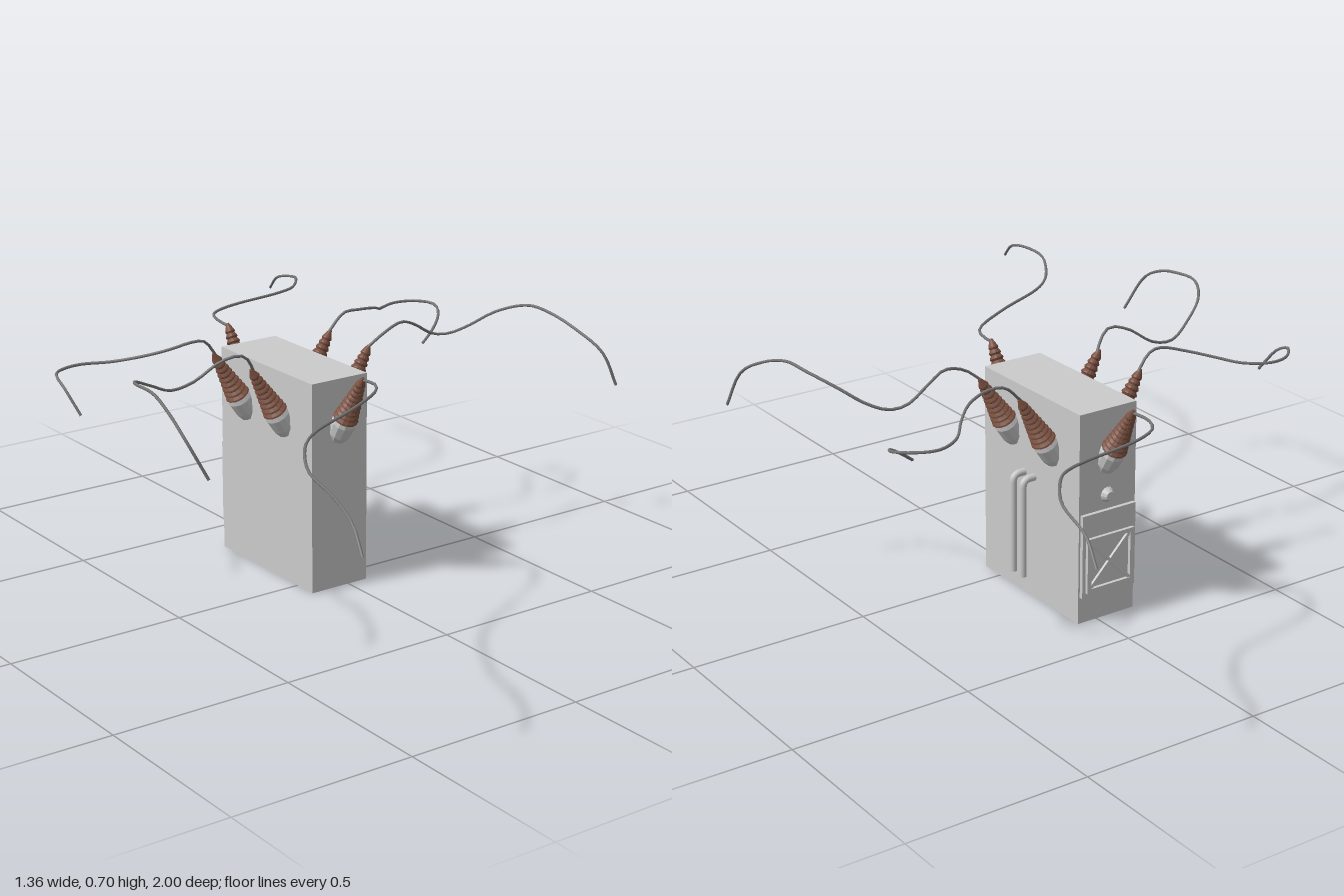
import * as THREE from 'three';

const V = (x, y, z) => new THREE.Vector3(x, y, z);
const grey = new THREE.MeshStandardMaterial({ color: 0xcccccc });
const greyFlat = new THREE.MeshStandardMaterial({ color: 0xcccccc, flatShading: true });
const ceramic = new THREE.MeshStandardMaterial({ color: 0x7a5040, flatShading: true });
const cable = new THREE.MeshStandardMaterial({ color: 0x777777 });

// Tank centre line and extents
const CX = -0.03, CZ = -0.145, W = 0.18, H = 0.59, D = 0.43;
const BACK = CZ - D / 2;

function add(parent, name, geometry, material, x = 0, y = 0, z = 0) {
  const mesh = new THREE.Mesh(geometry, material);
  mesh.name = name;
  mesh.position.set(x, y, z);
  parent.add(mesh);
  return mesh;
}

const lathe = (points, sides) =>
  new THREE.LatheGeometry(points.map(([r, y]) => new THREE.Vector2(r, y)), sides);

// Metal socket with a collar, then a tapering stack of ceramic sheds
function bushing(name, x, z, outX, outZ) {
  const group = new THREE.Group();
  group.name = name;
  add(group, 'bushingSocket', lathe(
    [[0, -0.03], [0.024, -0.03], [0.031, -0.01], [0.034, 0.03], [0.03, 0.042], [0, 0.042]], 12), greyFlat);

  const profile = [[0, 0.04]];
  const sheds = 9, pitch = 0.0155;
  for (let i = 0; i < sheds; i++) {
    const r = 0.035 - 0.0026 * i, y = 0.04 + pitch * i;
    profile.push([r * 0.78, y], [r, y + pitch * 0.35], [r * 0.95, y + pitch * 0.6], [r * 0.74, y + pitch]);
  }
  profile.push([0.004, 0.195], [0, 0.195]);
  add(group, 'insulatorSheds', lathe(profile, 14), ceramic);

  group.position.set(x, 0.45, z);
  group.quaternion.setFromUnitVectors(V(0, 1, 0), V(outX * 0.51, 0.86, outZ * 0.51).normalize());
  return group;
}

function wire(parent, name, points) {
  const curve = new THREE.CatmullRomCurve3(points.map(p => V(...p)), false, 'centripetal');
  add(parent, name, new THREE.TubeGeometry(curve, points.length * 3, 0.004, 6), cable);
}

export function createModel() {
  const model = new THREE.Group();
  model.name = 'transformer';

  // Tank
  add(model, 'tank', new THREE.BoxGeometry(W, H, D), grey, CX, H / 2, CZ);

  // Bushings: two on each long side, one at each end
  for (const side of [1, -1]) {
    for (const z of [-0.06, -0.24]) {
      model.add(bushing('sideBushing', CX + side * (W / 2 + 0.005), z, side, 0));
    }
    model.add(bushing('endBushing', CX, CZ + side * (D / 2 + 0.005), 0, side));
  }

  // Elbowed pipes on the left side
  for (const z of [-0.115, -0.16]) {
    const path = new THREE.CurvePath();
    path.add(new THREE.LineCurve3(V(0.055, 0.35, z), V(0.075, 0.35, z)));
    path.add(new THREE.QuadraticBezierCurve3(V(0.075, 0.35, z), V(0.096, 0.35, z), V(0.096, 0.329, z)));
    path.add(new THREE.LineCurve3(V(0.096, 0.329, z), V(0.096, 0.07, z)));
    add(model, 'pipe', new THREE.TubeGeometry(path, 48, 0.01, 10), grey);
    const cap = add(model, 'pipeEnd', new THREE.CircleGeometry(0.01, 10), grey, 0.096, 0.07, z);
    cap.rotation.x = Math.PI / 2;
  }

  // Back plate with a cross-braced frame and a round knob above
  const panel = new THREE.Group();
  panel.name = 'backPanel';
  panel.position.set(CX, 0, BACK);
  model.add(panel);
  add(panel, 'backPlate', new THREE.BoxGeometry(W - 0.01, 0.235, 0.012), grey, 0, 0.193, -0.005);
  const fw = 0.15, fh = 0.155, fy = 0.168, bar = 0.012, fz = -0.013;
  for (const s of [1, -1]) {
    add(panel, 'frameUpright', new THREE.BoxGeometry(bar, fh, 0.015), grey, s * (fw - bar) / 2, fy, fz);
    add(panel, 'frameRail', new THREE.BoxGeometry(fw, bar, 0.015), grey, 0, fy + s * (fh - bar) / 2, fz);
    const brace = add(panel, 'frameBrace',
      new THREE.BoxGeometry(Math.hypot(fw, fh) - 0.03, 0.009, 0.011), grey, 0, fy, fz);
    brace.rotation.z = s * Math.atan2(fh, fw);
  }
  const knob = add(panel, 'knob', new THREE.CylinderGeometry(0.012, 0.022, 0.016, 12), greyFlat, 0, 0.35, -0.007);
  knob.rotation.x = -Math.PI / 2;

  // Long wires from the end bushings
  wire(model, 'frontWire', [
    [-0.03, 0.61, 0.16], [-0.03, 0.615, 0.22], [-0.06, 0.615, 0.27], [-0.2, 0.615, 0.36],
    [-0.37, 0.615, 0.445], [-0.44, 0.615, 0.5], [-0.51, 0.615, 0.59], [-0.57, 0.615, 0.7],
    [-0.595, 0.605, 0.82], [-0.62, 0.575, 0.93], [-0.643, 0.525, 0.997]]);
  wire(model, 'backWire', [
    [-0.03, 0.61, -0.46], [-0.025, 0.615, -0.53], [0, 0.615, -0.58], [0.05, 0.615, -0.61],
    [0.12, 0.615, -0.63], [0.27, 0.615, -0.655], [0.34, 0.615, -0.68], [0.39, 0.615, -0.73],
    [0.44, 0.605, -0.81], [0.46, 0.575, -0.93], [0.48, 0.525, -0.997]]);

  // Looping wires from the side bushings
  wire(model, 'leftFrontWire', [
    [0.155, 0.61, -0.06], [0.2, 0.645, -0.048], [0.27, 0.665, -0.058], [0.33, 0.645, -0.075],
    [0.4, 0.605, -0.08], [0.45, 0.6, -0.07], [0.5, 0.62, -0.045], [0.555, 0.66, 0],
    [0.6, 0.69, 0.08], [0.605, 0.69, 0.17], [0.62, 0.66, 0.27], [0.645, 0.61, 0.35], [0.675, 0.52, 0.375]]);
  wire(model, 'rightFrontWire', [
    [-0.215, 0.61, -0.06], [-0.24, 0.65, -0.05], [-0.27, 0.667, -0.045], [-0.32, 0.655, -0.06],
    [-0.39, 0.61, -0.078], [-0.46, 0.6, -0.075], [-0.54, 0.635, -0.045], [-0.61, 0.67, 0],
    [-0.658, 0.692, 0.08], [-0.66, 0.69, 0.16], [-0.675, 0.665, 0.26], [-0.68, 0.62, 0.34], [-0.642, 0.525, 0.378]]);
  wire(model, 'leftBackWire', [
    [0.155, 0.61, -0.24], [0.21, 0.66, -0.24], [0.26, 0.662, -0.237], [0.33, 0.65, -0.26],
    [0.38, 0.63, -0.3], [0.43, 0.613, -0.355], [0.5, 0.61, -0.385], [0.56, 0.61, -0.365],
    [0.593, 0.605, -0.32], [0.57, 0.588, -0.27], [0.52, 0.555, -0.237], [0.48, 0.525, -0.23]]);
  wire(model, 'rightBackWire', [
    [-0.215, 0.61, -0.24], [-0.25, 0.655, -0.24], [-0.29, 0.662, -0.237], [-0.36, 0.645, -0.26],
    [-0.42, 0.628, -0.3], [-0.48, 0.613, -0.35], [-0.55, 0.61, -0.385], [-0.61, 0.61, -0.375],
    [-0.655, 0.612, -0.33], [-0.66, 0.59, -0.28], [-0.642, 0.525, -0.23]]);

  return model;
}
